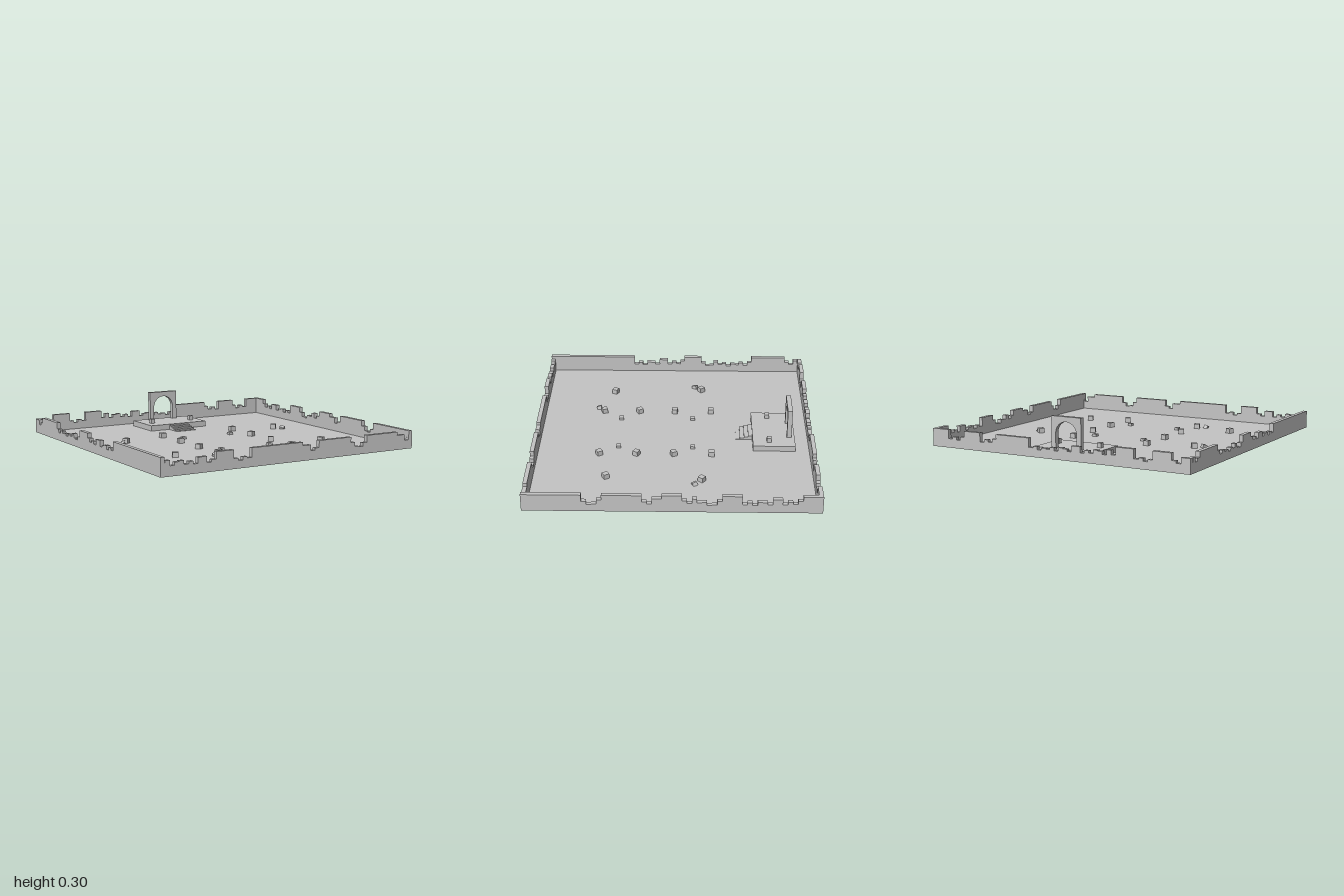
import * as THREE from 'three';

const FLOOR = 0.037, TOP = 0.163, THICK = 0.03, SEG = 2 / 15;

export function createModel() {
  const stone = new THREE.MeshStandardMaterial({ color: 0xc4c4c4 });
  stone.name = 'paleStone';
  const model = new THREE.Group();
  model.name = 'ruinedCourtyard';

  function add(parent, name, geometry, x = 0, y = 0, z = 0) {
    const mesh = new THREE.Mesh(geometry, stone);
    mesh.name = name;
    mesh.position.set(x, y, z);
    parent.add(mesh);
    return mesh;
  }
  const box = (w, h, d) => new THREE.BoxGeometry(w, h, d);

  // Thin courtyard floor
  add(model, 'floor', box(2, 0.004, 2), 0, FLOOR + 0.002, 0);

  // Crumbled wall tops: four stepped heights across one wall section
  const crumbles = [
    [0.125, 0.095, 0.09, 0.115],
    [0.11, 0.14, 0.105, 0.125],
    [0.13, 0.105, 0.12, 0.1],
    [0.14, 0.14, 0.1, 0.115],
    [0.12, 0.095, 0.115, 0.1],
    [0.105, 0.09, 0.11, 0.1],
  ];

  function wallSection(start, heights) {
    const shape = new THREE.Shape();
    const step = SEG / heights.length;
    shape.moveTo(start, FLOOR);
    heights.forEach((h, i) => {
      shape.lineTo(start + i * step, h);
      shape.lineTo(start + (i + 1) * step, h);
    });
    shape.lineTo(start + SEG, FLOOR);
    return new THREE.ExtrudeGeometry(shape, { depth: THICK, bevelEnabled: false });
  }

  // A wall is fifteen sections, intact or broken
  function wall(name, offset, turn, broken) {
    const group = new THREE.Group();
    group.name = name;
    group.rotation.y = turn;
    for (let i = 0; i < 15; i++) {
      const isBroken = broken.includes(i);
      const heights = isBroken ? crumbles[(i + broken.length) % crumbles.length] : [TOP];
      add(group, isBroken ? 'brokenWallSection' : 'wallSection',
        wallSection(-1 + i * SEG, heights), 0, 0, offset);
    }
    model.add(group);
  }
  wall('frontWall', 1 - THICK, 0, [0, 1, 2, 4, 8, 11, 14]);
  wall('backWall', -1, 0, [0, 2, 4, 5, 6, 7, 8, 11, 13]);
  wall('leftWall', -1, -Math.PI / 2, [1, 2, 3, 5, 6, 8, 11]);
  wall('rightWall', 1 - THICK, -Math.PI / 2, [0, 3, 4, 5, 7, 8, 9]);

  // Raised platform with steps
  const deck = 0.082, rise = deck - FLOOR;
  add(model, 'platform', box(0.476, rise, 0.304), 0, FLOOR + rise / 2, -0.72);
  const steps = 4, tread = 0.03;
  for (let i = 0; i < steps; i++) {
    const h = rise * (steps - i) / (steps + 1);
    add(model, 'step', box(0.165, h, tread), 0, FLOOR + h / 2, -0.568 + (i + 0.5) * tread);
  }
  for (const side of [-1, 1]) {
    add(model, 'platformBlock', box(0.033, 0.033, 0.033), side * 0.168, deck + 0.0165, -0.685);
  }

  // Archway standing on the platform
  const arch = new THREE.Shape();
  arch.moveTo(-0.116, deck);
  arch.lineTo(-0.082, deck);
  arch.lineTo(-0.082, 0.183);
  arch.absarc(0, 0.183, 0.082, Math.PI, 0, true);
  arch.lineTo(0.082, deck);
  arch.lineTo(0.116, deck);
  arch.lineTo(0.116, 0.3);
  arch.lineTo(-0.116, 0.3);
  add(model, 'archway', new THREE.ExtrudeGeometry(arch,
    { depth: 0.034, bevelEnabled: false, curveSegments: 20 }), 0, 0, -0.85);

  // Standing stones sunk through the floor: x, z, turn in degrees
  const standing = [
    [-0.3, -0.27, 0], [0.3, -0.27, 0], [-0.3, 0, -8], [0.3, 0, 25],
    [-0.3, 0.265, 30], [0.3, 0.265, -30], [-0.3, 0.53, 20], [0.3, 0.53, 28],
    [-0.6, 0.465, -25], [0.6, 0.465, 28], [-0.635, -0.2, 35], [0.63, -0.2, -38],
  ];
  for (const [x, z, turn] of standing) {
    add(model, 'standingStone', box(0.04, 0.076, 0.04), x, 0.038, z)
      .rotation.y = THREE.MathUtils.degToRad(turn);
  }

  // Low square blocks
  for (const x of [-0.2, 0.2]) {
    for (const z of [-0.135, 0.397]) add(model, 'lowBlock', box(0.033, 0.033, 0.033), x, 0.0425, z);
  }

  // Fallen, tilted fragments
  for (const [x, z, turn] of [[-0.685, -0.15, -0.45], [0.68, -0.15, 0.45], [-0.355, 0.575, 0.15]]) {
    add(model, 'fallenFragment', box(0.028, 0.028, 0.034), x, 0.048, z).rotation.set(0.3, turn, 0.25);
  }
  return model;
}
